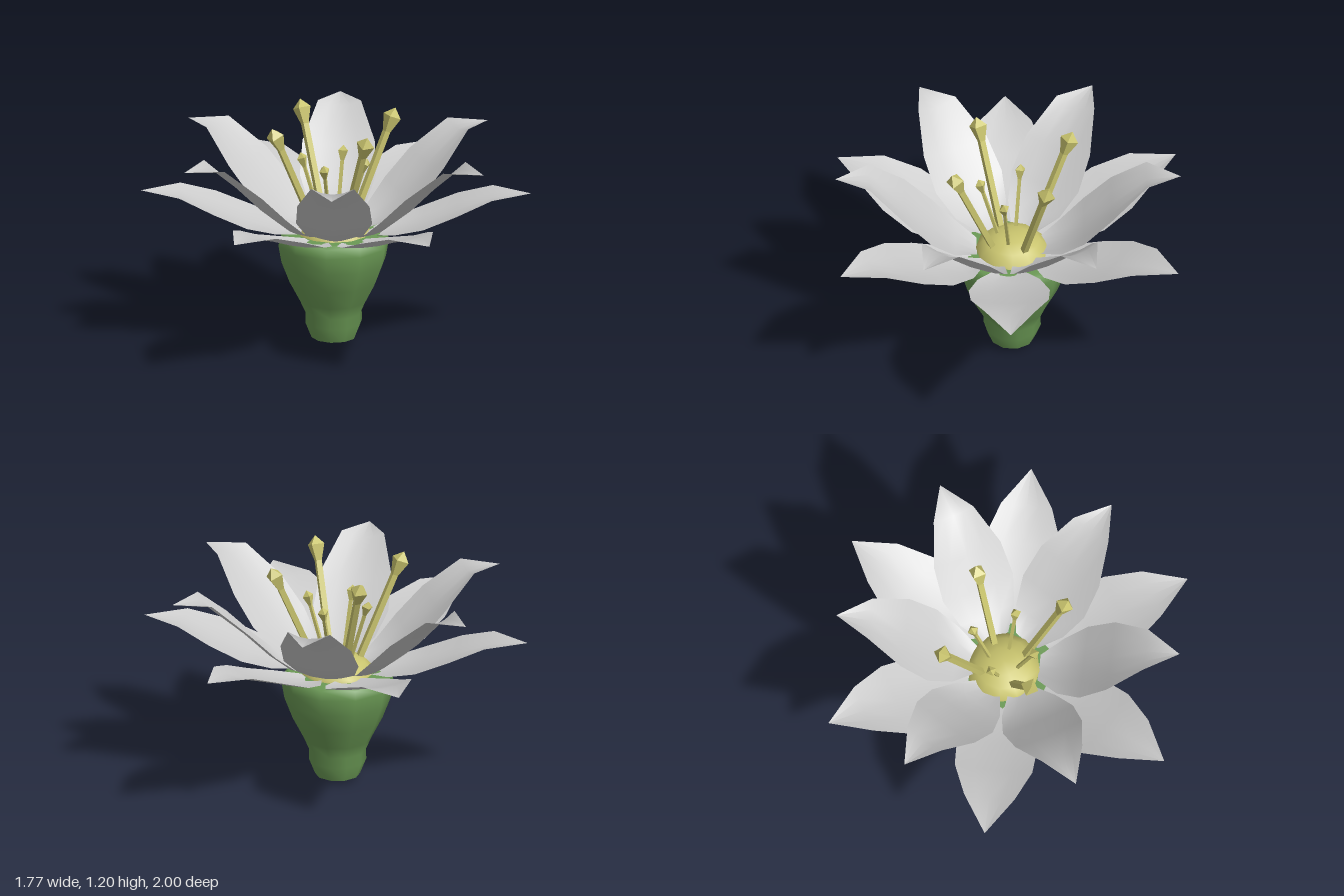
import * as THREE from 'three';

const mat = (color, extra = {}) => new THREE.MeshStandardMaterial({ color, ...extra });
const vecs = (pts) => pts.map(([x, y]) => new THREE.Vector2(x, y));
const CENTRE_Z = -0.025; // cup, dome and stamens sit slightly behind the petal ring

// A cupped petal along +z; each row is [distance from axis, height, half width]
function petalGeometry(rows, lift) {
  const cols = 4, n = rows.length - 1;
  const geo = new THREE.PlaneGeometry(2, 1, cols, n);
  const pos = geo.attributes.position;
  for (let i = 0; i < pos.count; i++) {
    const u = pos.getX(i);
    const [r, y, w] = rows[n - Math.floor(i / (cols + 1))];
    pos.setXYZ(i, -u * w, y + lift * u * u * Math.min(1, w / 0.1), r);
  }
  geo.computeVertexNormals();
  return geo;
}

function petalRing(name, geo, material, start) {
  const ring = new THREE.Group();
  ring.name = name + 's';
  for (let i = 0; i < 6; i++) {
    const petal = new THREE.Mesh(geo, material);
    petal.name = name;
    petal.rotation.y = start + i * Math.PI / 3;
    ring.add(petal);
  }
  return ring;
}

// Four square stamens leaning outward: stem, swollen anther, pointed tip
function stamenRing(name, { base, tip, stem, anther, head, start }, material) {
  const ring = new THREE.Group();
  ring.name = name + 's';
  const dr = tip[0] - base[0], dy = tip[1] - base[1];
  const len = Math.hypot(dr, dy);
  const geo = new THREE.LatheGeometry(vecs([
    [stem, 0], [stem, len - head], [anther, len - head * 0.36], [0, len],
  ]), 4, Math.PI / 4);
  for (let i = 0; i < 4; i++) {
    const pivot = new THREE.Group();
    pivot.name = name;
    pivot.rotation.y = start + i * Math.PI / 2;
    const mesh = new THREE.Mesh(geo, material);
    mesh.name = name + 'Stalk';
    mesh.position.set(0, base[1], base[0]);
    mesh.rotation.x = Math.atan2(dr, dy);
    pivot.add(mesh);
    ring.add(pivot);
  }
  return ring;
}

export function createModel() {
  const flower = new THREE.Group();
  flower.name = 'flower';
  const green = mat(0x6b9a55);
  const yellow = mat(0xc9c46e);
  const yellowFlat = mat(0xc9c46e, { flatShading: true });
  const petalMat = mat(0xcccccc, { side: THREE.DoubleSide });

  const centre = new THREE.Group();
  centre.name = 'flowerCentre';
  centre.position.z = CENTRE_Z;
  flower.add(centre);

  // Green cup with a narrow foot
  const cup = new THREE.Mesh(new THREE.LatheGeometry(vecs([
    [0.115, 0.025], [0.147, 0.105], [0.146, 0.16], [0.175, 0.225], [0.23, 0.33],
    [0.272, 0.44], [0.288, 0.53], [0.277, 0.578], [0.25, 0.595], [0, 0.575],
  ]), 10), green);
  cup.name = 'cup';
  const foot = new THREE.Mesh(
    new THREE.LatheGeometry(vecs([[0, 0], [0.115, 0.025]]), 10), green);
  foot.name = 'cupBase';

  // Yellow dome inside the petals
  const dome = new THREE.Mesh(new THREE.SphereGeometry(0.2, 12, 8), yellow);
  dome.name = 'dome';
  dome.scale.y = 0.7;
  dome.position.y = 0.55;
  centre.add(cup, foot, dome);

  // Tall stamens on the axes, short ones on the diagonals
  centre.add(
    stamenRing('tallStamen', {
      base: [0.11, 0.63], tip: [0.36, 1.2], stem: 0.021, anther: 0.048, head: 0.13, start: 0,
    }, yellowFlat),
    stamenRing('shortStamen', {
      base: [0.07, 0.65], tip: [0.178, 1.0], stem: 0.011, anther: 0.029, head: 0.08,
      start: Math.PI / 4,
    }, yellowFlat),
  );

  // Wide lower petals and steeper upper petals, alternating
  const lower = petalGeometry([
    [0.19, 0.585, 0.07], [0.3, 0.605, 0.16], [0.45, 0.65, 0.208],
    [0.62, 0.72, 0.2], [0.8, 0.785, 0.13], [1, 0.81, 0],
  ], 0.025);
  const upper = petalGeometry([
    [0.16, 0.595, 0.07], [0.27, 0.64, 0.15], [0.39, 0.74, 0.195],
    [0.53, 0.88, 0.185], [0.71, 1.035, 0.11], [0.885, 1.055, 0],
  ], 0.03);
  flower.add(
    petalRing('lowerPetal', lower, petalMat, 0),
    petalRing('upperPetal', upper, petalMat, Math.PI / 6),
  );
  return flower;
}
